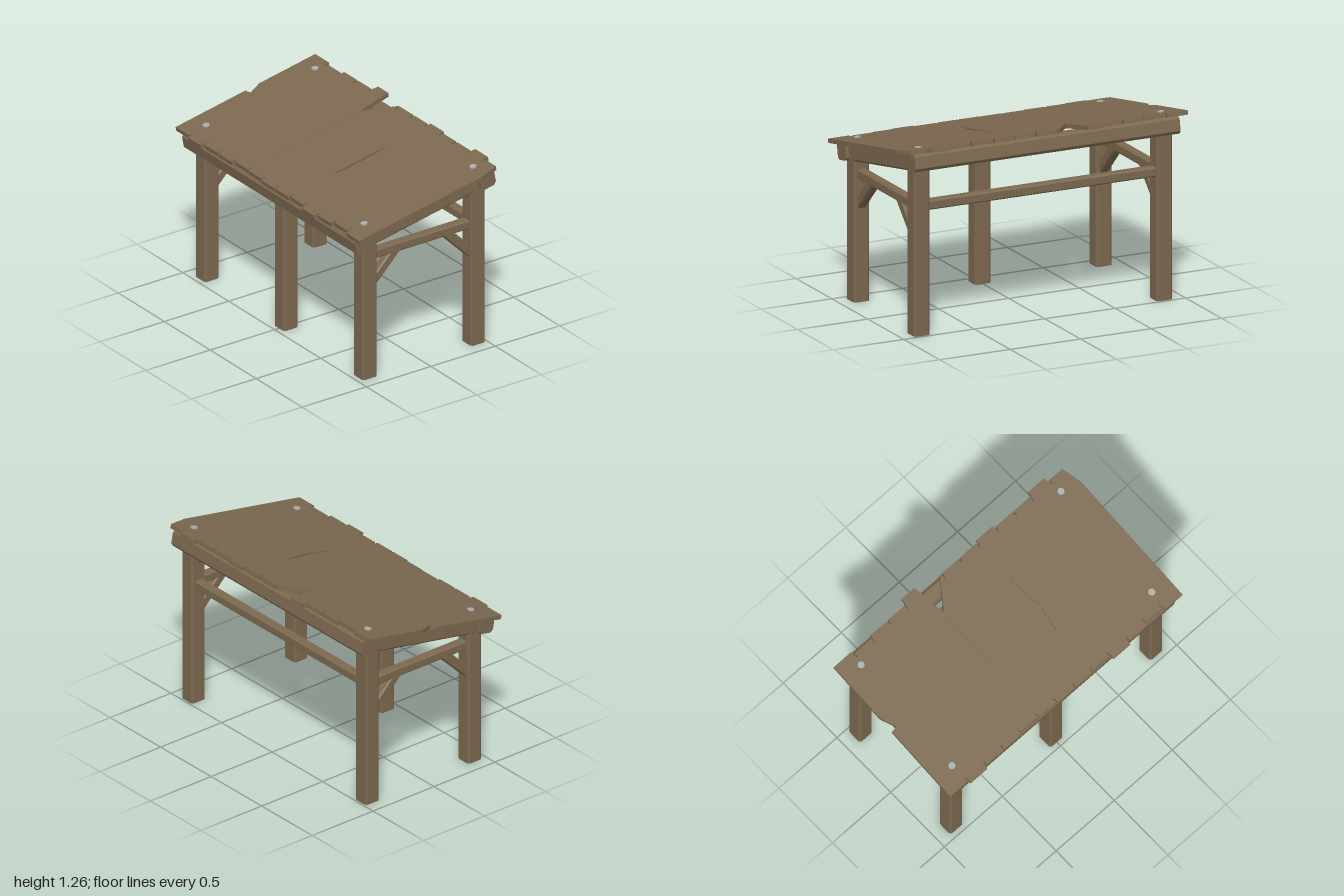
import * as THREE from 'three';

const wood = new THREE.MeshStandardMaterial({ color: 0x7b684f, flatShading: true });
const metal = new THREE.MeshStandardMaterial({ color: 0xa8adb0, flatShading: true });
const PITCH = 0.186;            // roof slope in radians
const ROOF_Y = 1.119;           // underside of the planks at x = 0

// Timber with chamfered long edges, running along z and centred
function timber(w, h, length, c) {
  const a = w / 2, b = h / 2;
  const s = new THREE.Shape([
    [-a + c, -b], [a - c, -b], [a, -b + c], [a, b - c],
    [a - c, b], [-a + c, b], [-a, b - c], [-a, -b + c],
  ].map(([x, y]) => new THREE.Vector2(x, y)));
  return new THREE.ExtrudeGeometry(s, { depth: length, bevelEnabled: false }).translate(0, 0, -length / 2);
}

function add(parent, name, geometry, material = wood) {
  const mesh = new THREE.Mesh(geometry, material);
  mesh.name = name;
  parent.add(mesh);
  return mesh;
}

// Straight square timber between two points
function beam(parent, name, from, to) {
  const a = new THREE.Vector3(...from), b = new THREE.Vector3(...to);
  const mesh = add(parent, name, timber(0.064, 0.064, a.distanceTo(b), 0.009));
  mesh.position.copy(a).lerp(b, 0.5);
  mesh.lookAt(b);
}

// Upright post whose top is cut to the roof slope
function post(parent, name, x, z) {
  const g = timber(0.112, 0.112, 1, 0.013).rotateX(-Math.PI / 2).translate(x, 0.5, z);
  const p = g.attributes.position;
  for (let i = 0; i < p.count; i++) {
    if (p.getY(i) > 0.5) p.setY(i, ROOF_Y - 0.006 + Math.tan(PITCH) * p.getX(i));
  }
  g.computeVertexNormals();
  add(parent, name, g);
}

// Flat board from an outline of [x, z] points
function board(outline, thickness) {
  const s = new THREE.Shape(outline.map(([x, z]) => new THREE.Vector2(x, -z)));
  return new THREE.ExtrudeGeometry(s, { depth: thickness, bevelEnabled: false }).rotateX(-Math.PI / 2);
}

export function createModel() {
  const model = new THREE.Group();
  model.name = 'leanToShelter';
  const lowX = -0.41, highX = 0.431, endZ = 0.86;

  // Posts: three on the low side, two on the high side
  for (const z of [-endZ, 0, endZ]) post(model, 'lowPost', lowX, z);
  for (const z of [-endZ, endZ]) post(model, 'highPost', highX, z);

  // Rails and diagonal braces
  beam(model, 'highSideRail', [highX, 0.847, -endZ], [highX, 0.847, endZ]);
  for (const z of [-endZ, endZ]) {
    beam(model, 'endRail', [lowX, 0.847, z], [highX, 0.847, z]);
    for (const side of [-1, 1]) {
      beam(model, 'brace', [0.01 + side * 0.41, 0.62, z], [0.01 + side * 0.18, 0.85, z]);
    }
  }

  // Everything in the roof shares the pitched frame
  const roof = new THREE.Group();
  roof.name = 'roof';
  roof.position.y = ROOF_Y;
  roof.rotation.z = PITCH;
  model.add(roof);

  // Purlins along the eaves and rafters across
  for (const x of [-0.504, 0.482]) {
    add(roof, 'purlin', timber(0.115, 0.115, 1.88, 0.019)).position.set(x, -0.0575, 0);
  }
  for (const z of [-endZ, 0, endZ]) {
    add(roof, 'rafter', timber(0.116, 0.116, 0.94, 0.014).rotateY(Math.PI / 2)).position.set(-0.01, -0.06, z);
  }

  // Planks: left end, right end
  const ends = [
    [-0.56, 0.543], [-0.58, 0.523], [-0.56, 0.543], [-0.56, 0.543], [-0.545, 0.588],
    [-0.55, 0.543], [-0.56, 0.543], [-0.56, 0.543], [-0.55, 0.558], [-0.58, 0.543],
    [-0.56, 0.543], [-0.54, 0.573], [-0.56, 0.543],
  ];
  const last = ends.length - 1;
  const width = 2 / ends.length;
  // Damage along the back edge of some planks (left to right)
  const backDamage = {
    0: [[-0.01, -1], [0, -0.955], [0.1, -1]],
    8: [[-0.23, 0.231], [-0.02, 0.265], [0.24, 0.231]],
  };
  // Broken corners at the right end: back and front
  const backCorner = { 5: [[0.345, -0.23], [0.543, -0.09]] };
  const frontCorner = {
    4: [[0.588, -0.268], [0.345, -0.2318]],
    12: [[0.543, 0.965], [0.405, 1]],
  };
  ends.forEach(([l, r], i) => {
    const z0 = -1 + i * width, z1 = z0 + width;
    const n0 = i > 0 ? 0.007 : 0, n1 = i < last ? 0.007 : 0;
    const outline = [
      [l, z0 + n0], [l + 0.03, z0 + n0], [l + 0.035, z0],
      ...(backDamage[i] || []),
      ...(backCorner[i] || [[r - 0.035, z0], [r - 0.03, z0 + n0], [r, z0 + n0]]),
      ...(frontCorner[i] || [[r, z1 - n1], [r - 0.03, z1 - n1], [r - 0.035, z1]]),
      [l + 0.035, z1], [l + 0.03, z1 - n1], [l, z1 - n1],
    ];
    add(roof, 'plank', board(outline, 0.028));
  });
  // Remaining wood at the bottom of the shallow split
  add(roof, 'splitFloor', board([[-0.24, 0.225], [0.25, 0.225], [0.25, 0.275], [-0.24, 0.275]], 0.014))
    .position.y = 0.001;

  // Bolt heads at the corners
  for (const x of [-0.42, 0.44]) {
    for (const z of [-endZ, endZ]) {
      add(roof, 'bolt', new THREE.CylinderGeometry(0.023, 0.023, 0.02, 10), metal).position.set(x, 0.026, z);
    }
  }
  return model;
}
